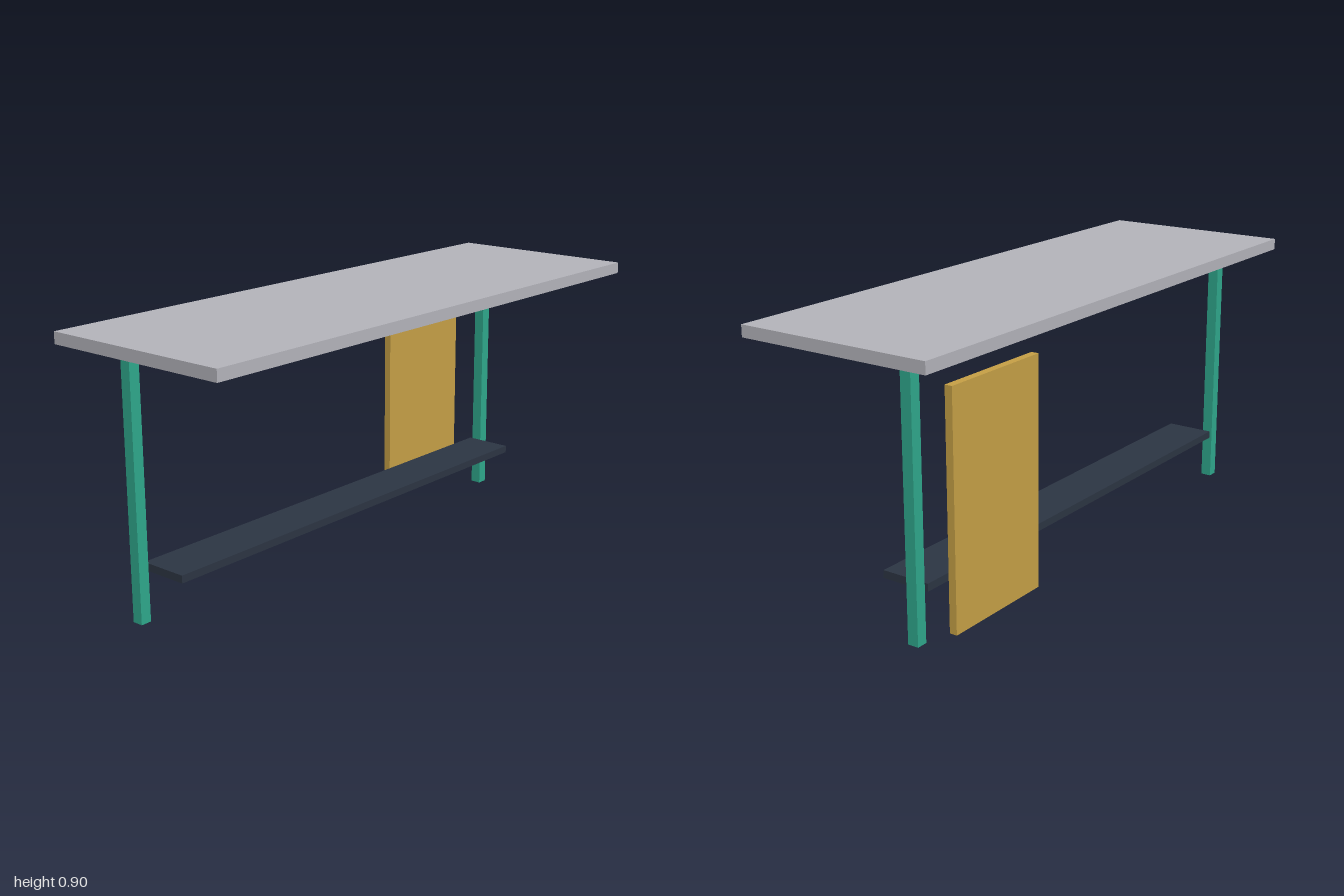
import * as THREE from 'three';

const material = (name, color) => {
  const m = new THREE.MeshStandardMaterial({ color });
  m.name = name;
  return m;
};

export function createModel() {
  const model = new THREE.Group();
  model.name = 'desk';
  const grey = material('light grey', 0xb4b4bb);
  const teal = material('teal', 0x2fa88c);
  const gold = material('ochre', 0xc6a046);
  const navy = material('dark slate', 0x2c3543);

  // Box given by its size and centre
  const box = (name, mat, size, centre) => {
    const mesh = new THREE.Mesh(new THREE.BoxGeometry(...size), mat);
    mesh.name = name;
    mesh.position.set(...centre);
    model.add(mesh);
  };

  // Worktop
  box('tabletop', grey, [2, 0.038, 0.667], [0, 0.884, 0]);

  // Pair of square legs, set behind the middle
  for (const side of [-1, 1]) {
    box(side > 0 ? 'leftLeg' : 'rightLeg', teal,
      [0.037, 0.865, 0.037], [side * 0.867, 0.4325, -0.166]);
  }

  // Low shelf between the legs
  box('shelf', navy, [1.667, 0.025, 0.167], [0, 0.168, -0.1]);

  // Upright panel at the back
  box('backPanel', gold, [0.4, 0.733, 0.025], [0.667, 0.434, -0.3]);

  return model;
}
